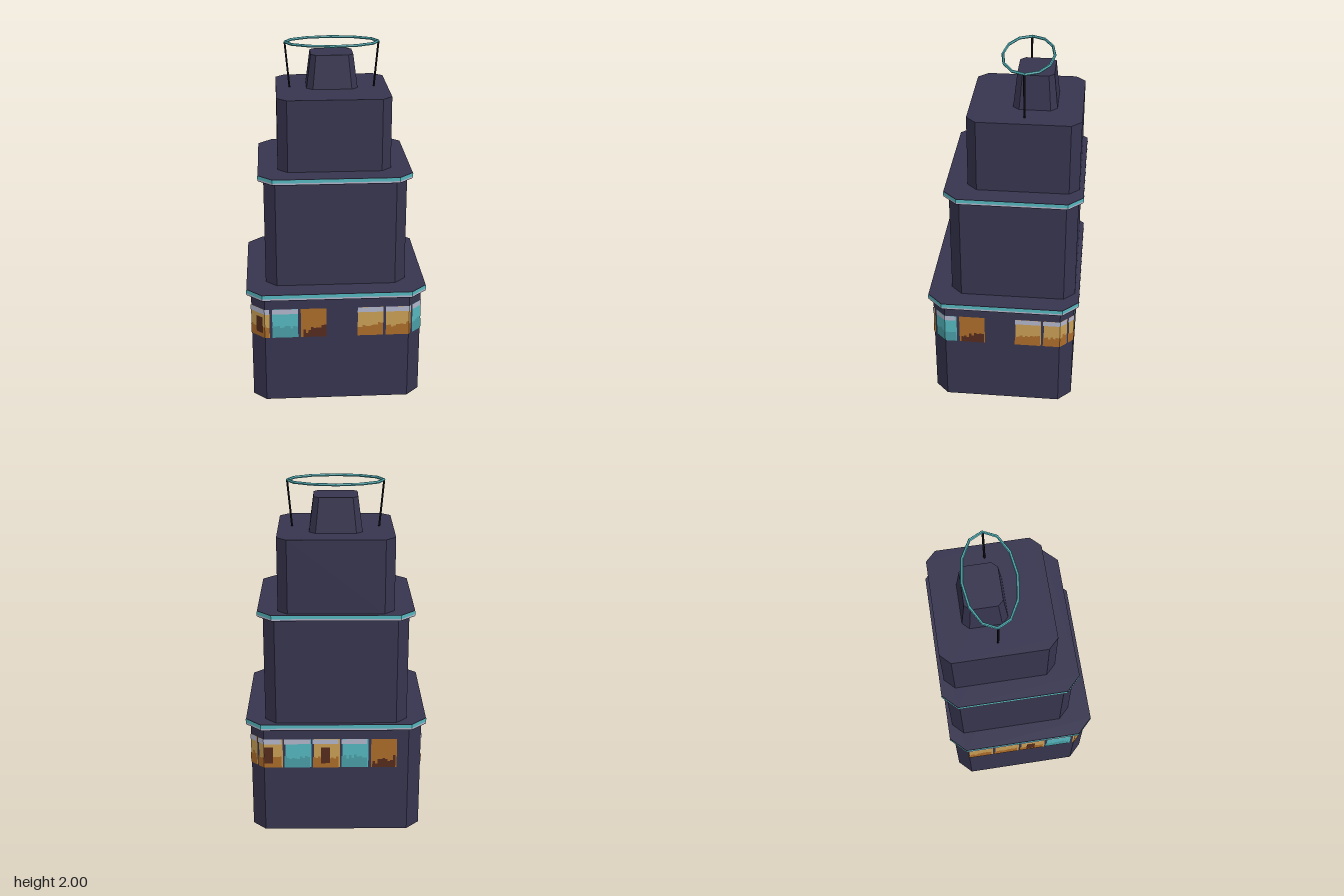
import * as THREE from 'three';
import { mergeGeometries } from 'three/addons/utils/BufferGeometryUtils.js';

const paint = (name, color) => Object.assign(new THREE.MeshStandardMaterial({ color, flatShading: true }), { name });
const wall = paint('slate wall', 0x37354f);
const metal = paint('dark metal', 0x15151e);
const teal = paint('teal', 0x55b8bf);
const deepTeal = paint('deep teal', 0x4a9ea6);
const pale = paint('pale lavender', 0xb2b6cb);
const sand = paint('sand', 0xc99f55);
const orange = paint('orange', 0xac6c2a);
const brown = paint('dark brown', 0x552b1d);

// Rectangle with cut corners, listed from the front left, running to the right around the tower
function outline(w, z0, z1, c) {
  return [[-w + c, z1], [w - c, z1], [w, z1 - c], [w, z0 + c], [w - c, z0], [-w + c, z0], [-w, z0 + c], [-w, z1 - c]]
    .map(([x, z]) => new THREE.Vector2(x, z));
}

// The same outline pushed outward by d
const grown = (w, z0, z1, c, d) => outline(w + d, z0 - d, z1 + d, c + 0.586 * d);

function prism(pts, y0, y1) {
  const shape = new THREE.Shape(pts.map(p => new THREE.Vector2(p.x, -p.y)));
  return new THREE.ExtrudeGeometry(shape, { depth: y1 - y0, bevelEnabled: false })
    .rotateX(-Math.PI / 2).translate(0, y0, 0);
}

// Thin skin that follows an outline from distance s0 to s1, bending at the corners
function skin(pts, s0, s1, y0, y1) {
  const n = pts.length, cum = [0];
  for (let i = 0; i < 2 * n; i++) cum.push(cum[i] + pts[i % n].distanceTo(pts[(i + 1) % n]));
  if (s0 < 0) { s0 += cum[n]; s1 += cum[n]; }
  const at = s => {
    let i = 0;
    while (i < 2 * n - 1 && s > cum[i + 1]) i++;
    return pts[i % n].clone().lerp(pts[(i + 1) % n], (s - cum[i]) / (cum[i + 1] - cum[i]));
  };
  const stops = [s0, ...cum.filter(s => s > s0 + 1e-4 && s < s1 - 1e-4), s1].map(at);
  const pos = [];
  for (let i = 0; i + 1 < stops.length; i++) {
    const a = stops[i], b = stops[i + 1];
    pos.push(a.x, y0, a.y, b.x, y0, b.y, b.x, y1, b.y, a.x, y0, a.y, b.x, y1, b.y, a.x, y1, a.y);
  }
  const g = new THREE.BufferGeometry();
  g.setAttribute('position', new THREE.Float32BufferAttribute(pos, 3));
  g.computeVertexNormals();
  return g;
}

function add(parent, name, geometry, material) {
  const mesh = new THREE.Mesh(geometry, material);
  mesh.name = name;
  parent.add(mesh);
  return mesh;
}

let seed = 7;
const rand = () => (seed = (seed * 16807) % 2147483647) / 2147483647;

const BASE = [0.485, -0.405, 0.405, 0.075];
const PANE = grown(...BASE, 0.002);
const DETAIL = grown(...BASE, 0.004);
const WIDTH = 0.146, LOW = 0.403, HIGH = 0.58;

// Ragged lower edge of a pane, made of narrow columns
function ragged(s, from, to, base, spread) {
  const cols = 10, step = WIDTH / cols, parts = [];
  for (let i = 0; i < cols; i++) {
    const h = base(i / (cols - 1)) + rand() * spread;
    if (i / cols >= from && i / cols < to) parts.push(skin(DETAIL, s + i * step, s + (i + 1) * step, LOW, LOW + h));
  }
  return mergeGeometries(parts);
}

function lightWindow(s, kind) {
  const g = new THREE.Group();
  g.name = 'window';
  const main = { T: teal, B: orange, S: sand, A: sand }[kind];
  add(g, 'pane', skin(PANE, s, s + WIDTH, LOW, HIGH), main);
  if (kind === 'B') {
    add(g, 'shadowShapes', ragged(s, 0.1, 1, t => 0.015 + 0.03 * t, 0.035), brown);
    return g;
  }
  add(g, 'blind', skin(DETAIL, s, s + WIDTH, 0.55, HIGH), pale);
  if (kind === 'T') add(g, 'lowerPane', ragged(s, 0, 1, () => 0.055, 0.025), deepTeal);
  if (kind === 'S') add(g, 'lowerPane', ragged(s, 0, 1, t => 0.045 + 0.02 * t, 0.02), orange);
  if (kind === 'A') {
    add(g, 'lowerPane', ragged(s, 0, 1, () => 0.055, 0.015), orange);
    add(g, 'silhouette', skin(grown(...BASE, 0.006), s + 0.055, s + 0.105, 0.43, 0.53), brown);
  }
  return g;
}

export function createModel() {
  const model = new THREE.Group();
  model.name = 'tower';

  // Three stepped storeys
  add(model, 'lowerTier', prism(outline(...BASE), 0, 0.65), wall);
  add(model, 'middleTier', prism(outline(0.4, -0.405, 0.305, 0.063), 0.67, 1.3), wall);
  add(model, 'upperTier', prism(outline(0.318, -0.405, 0.21, 0.055), 1.32, 1.735), wall);

  // Ledges with a coloured edge
  for (const [y, h, ...dims] of [[0.645, 0.035, 0.51, -0.43, 0.43, 0.088], [1.294, 0.032, 0.43, -0.43, 0.332, 0.08]]) {
    const ledge = new THREE.Group();
    ledge.name = 'ledge';
    add(ledge, 'slab', prism(outline(...dims), y, y + h), wall);
    const edge = grown(...dims, 0.002);
    const total = edge.reduce((sum, p, i) => sum + p.distanceTo(edge[(i + 1) % 8]), 0);
    add(ledge, 'edgeLight', skin(edge, 0, total, y + h * 0.38, y + h * 0.95), teal);
    add(ledge, 'edgeTrim', skin(edge, 0, total, y + h * 0.12, y + h * 0.38), pale);
    model.add(ledge);
  }

  // Row of windows: distance along the wall in steps, and kind
  const windows = new THREE.Group();
  windows.name = 'windows';
  [...'ATB.SSTB.SSATATB.SSAT'].forEach((kind, i) => {
    if (kind !== '.') windows.add(lightWindow(-0.119 + i * 0.1618, kind));
  });
  model.add(windows);

  // Tapered roof block
  const cap = prism(outline(0.145, -0.12, 0.12, 0.035), 0, 0.19);
  const p = cap.attributes.position;
  for (let i = 0; i < p.count; i++) {
    const t = p.getY(i) / 0.19;
    p.setXYZ(i, p.getX(i) * (1 - 0.17 * t), p.getY(i), p.getZ(i) * (1 - 0.17 * t));
  }
  cap.computeVertexNormals();
  add(model, 'roofBlock', cap, wall).position.set(0, 1.735, -0.146);

  // Oval roof ring: a torus narrowed front to back at constant thickness
  const ring = new THREE.TorusGeometry(0.262, 0.008, 6, 12).rotateX(Math.PI / 2);
  const r = ring.attributes.position;
  for (let i = 0; i < r.count; i++) {
    const a = Math.atan2(r.getZ(i), r.getX(i));
    r.setZ(i, r.getZ(i) - Math.sin(a) * 0.122);
  }
  ring.computeVertexNormals();
  add(model, 'roofRing', ring, teal).position.set(0, 1.992, -0.1);

  // Slanted posts holding the ring
  for (const side of [-1, 1]) {
    const a = new THREE.Vector3(side * 0.24, 1.73, -0.098), b = new THREE.Vector3(side * 0.264, 1.99, -0.098);
    const post = add(model, 'ringPost', new THREE.CylinderGeometry(0.006, 0.006, a.distanceTo(b), 6), metal);
    post.position.copy(a).lerp(b, 0.5);
    post.quaternion.setFromUnitVectors(new THREE.Vector3(0, 1, 0), b.clone().sub(a).normalize());
  }
  return model;
}
